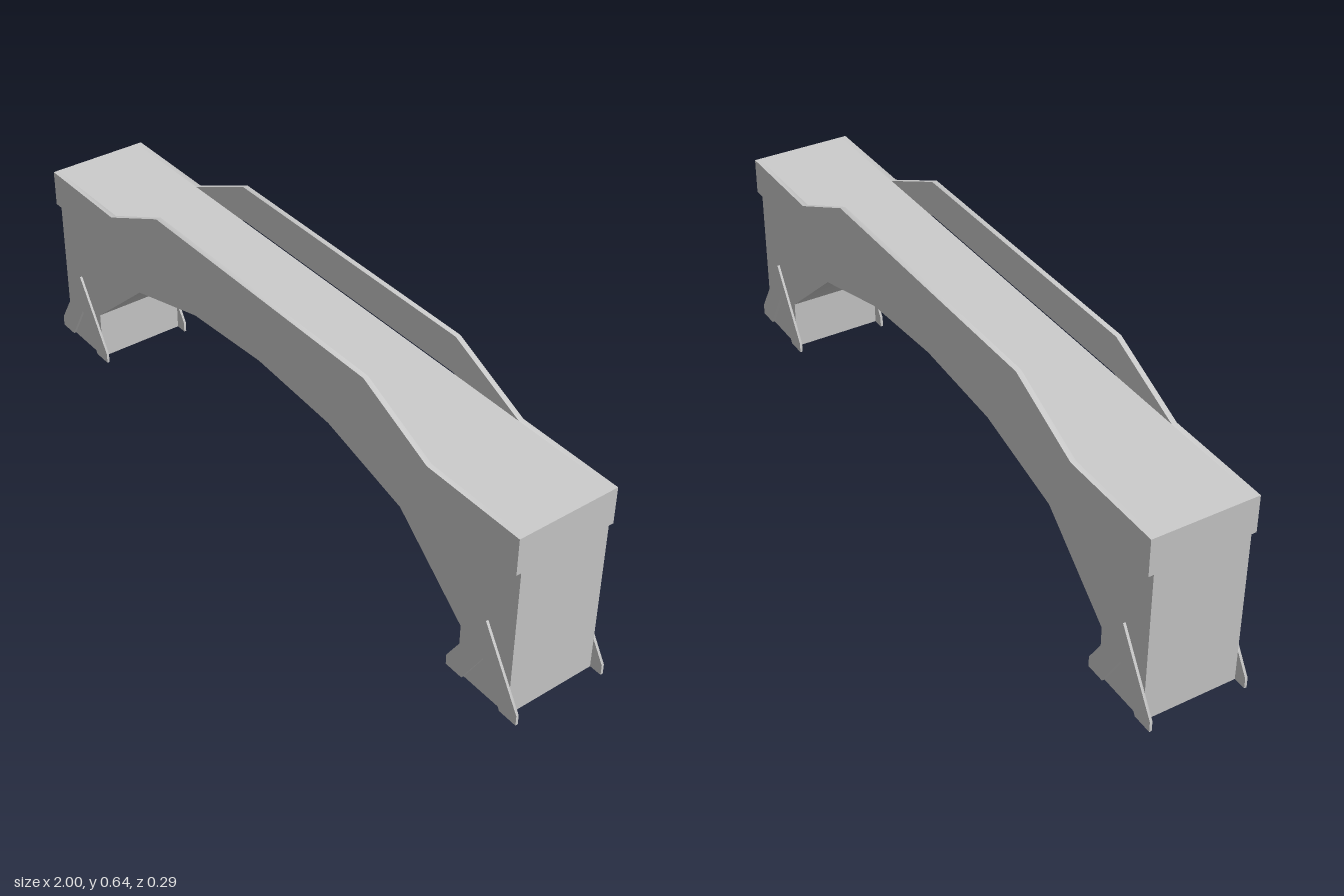
import * as THREE from 'three';
import { toCreasedNormals } from 'three/addons/utils/BufferGeometryUtils.js';

const material = new THREE.MeshStandardMaterial({ color: 0xcccccc });

// Mirrors a half outline (right to centre or back) to the -x side.
const mirrored = (half) => half.map(([x, y]) => [-x, y]).reverse();

// Extrudes an outline in the xy plane between two z values.
function slab(name, points, z0, z1) {
  const shape = new THREE.Shape(points.map(([x, y]) => new THREE.Vector2(x, y)));
  let geometry = new THREE.ExtrudeGeometry(shape, { depth: z1 - z0, bevelEnabled: false });
  geometry.translate(0, 0, z0);
  geometry = toCreasedNormals(geometry, 0.55);
  const mesh = new THREE.Mesh(geometry, material);
  mesh.name = name;
  return mesh;
}

export function createModel() {
  const group = new THREE.Group();
  group.name = 'archBridge';

  const end = 0.965, deckY = 0.539, halfWidth = 0.13;

  // Arched body with a flat deck and two legs
  const arch = [[0.79, 0], [0.79, 0.145], [0.56, 0.345], [0.285, 0.42]];
  const body = [
    [end, deckY], [-end, deckY], [-end, 0],
    ...mirrored(arch).reverse(), [0, 0.44], ...arch.slice().reverse(), [end, 0],
  ];
  group.add(slab('archBody', body, -halfWidth, halfWidth));

  // Parapet band: follows the deck at the ends and rises in the middle
  const rise = [[end, deckY], [0.66, deckY], [0.43, 0.645]];
  const top = [...rise, ...mirrored(rise)];
  const bottom = top.map(([x, y]) => [x, y - 0.103]).reverse();
  const parapet = [...top, ...bottom];

  // A-shaped foot plate, open at the bottom
  const footHalf = [[0.066, 0], [0.122, 0], [0.122, 0.03]];
  const foot = [
    ...footHalf, [0, 0.232], ...mirrored(footHalf), [0, 0.115],
  ];

  for (const side of [1, -1]) {
    const sideName = side > 0 ? 'front' : 'back';
    const between = (a, b) => (side > 0 ? [a, b] : [-b, -a]);
    group.add(slab(sideName + 'Parapet', parapet, ...between(halfWidth, 0.144)));
    for (const x of [0.878, -0.878]) {
      const plate = slab(sideName + (x > 0 ? 'Left' : 'Right') + 'FootPlate', foot, ...between(halfWidth, 0.137));
      plate.position.x = x;
      group.add(plate);
    }
  }
  return group;
}
